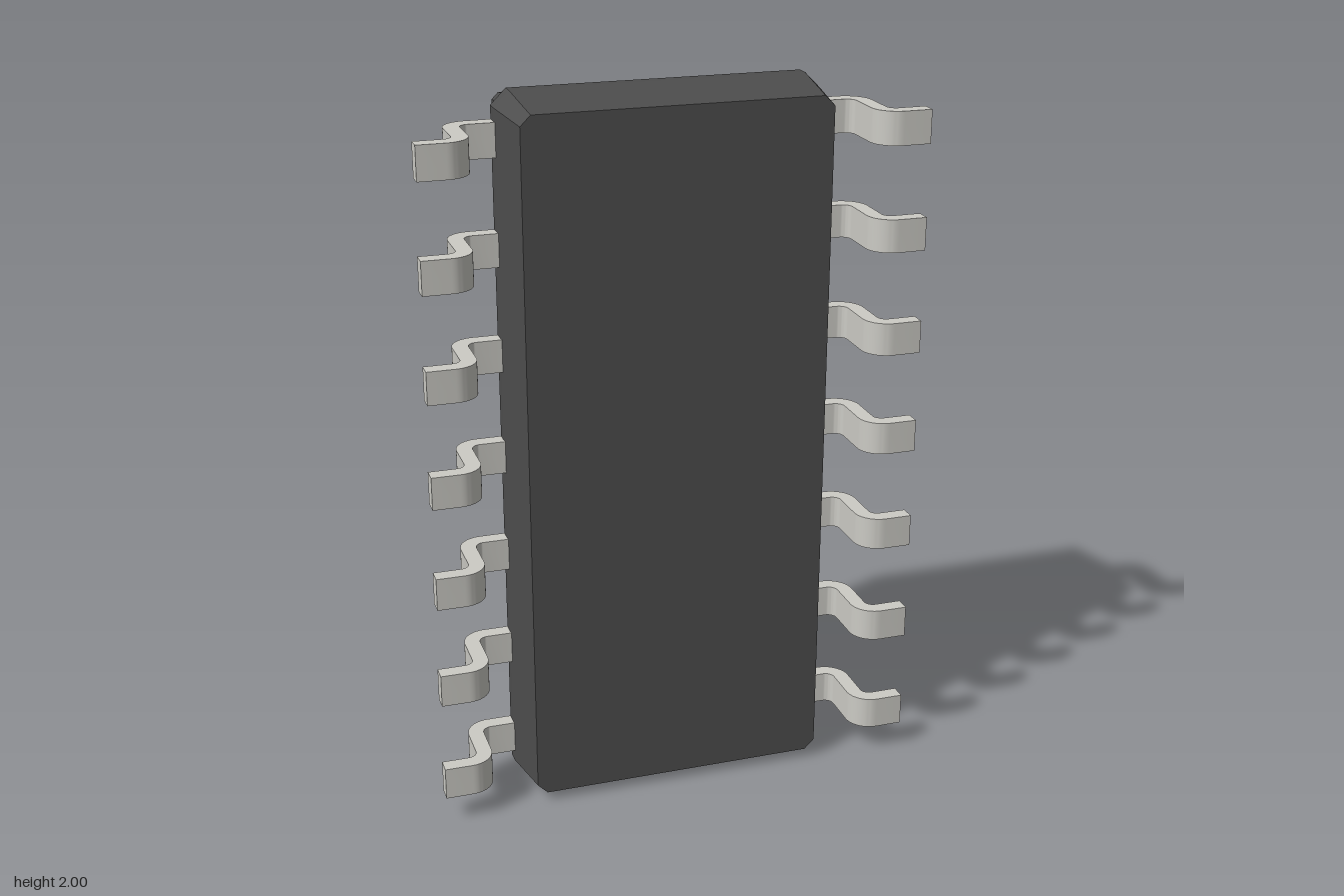
import * as THREE from 'three';
import { toCreasedNormals } from 'three/addons/utils/BufferGeometryUtils.js';

const MID = 1; // height of the body centre

// Corners of a rectangle with cut corners, counter-clockwise seen from +z
function octagon(w, h, c) {
  return [
    [w, -h + c], [w, h - c], [w - c, h], [-w + c, h],
    [-w, h - c], [-w, -h + c], [-w + c, -h], [w - c, -h],
  ].map(([x, y]) => new THREE.Vector2(x, y + MID));
}

// Flat-sided skin joining octagon sections listed from front to back
function loft(sections) {
  const pos = [];
  const rings = sections.map(([z, w, h, c]) =>
    octagon(w, h, c).map((p) => [p.x, p.y, z]));
  for (let s = 0; s < rings.length - 1; s++) {
    const f = rings[s], b = rings[s + 1];
    for (let i = 0; i < 8; i++) {
      const j = (i + 1) % 8;
      pos.push(...f[i], ...b[i], ...b[j], ...f[i], ...b[j], ...f[j]);
    }
  }
  const g = new THREE.BufferGeometry();
  g.setAttribute('position', new THREE.Float32BufferAttribute(pos, 3));
  g.computeVertexNormals();
  return g;
}

// Gull-wing lead profile in (x, z), extruded to the lead width
function leadGeometry(width) {
  const s = new THREE.Shape();
  s.moveTo(0.443, -0.035);
  s.lineTo(0.515, -0.035);
  s.absarc(0.515, 0.035, 0.07, -Math.PI / 2, 0, false);
  s.lineTo(0.585, 0.131);
  s.absarc(0.61, 0.131, 0.025, Math.PI, Math.PI / 2, true);
  s.lineTo(0.687, 0.156);
  s.lineTo(0.687, 0.2);
  s.lineTo(0.61, 0.2);
  s.absarc(0.61, 0.131, 0.069, Math.PI / 2, Math.PI, false);
  s.lineTo(0.541, 0.035);
  s.absarc(0.515, 0.035, 0.026, 0, -Math.PI / 2, true);
  s.lineTo(0.443, 0.009);
  s.closePath();
  const g = new THREE.ExtrudeGeometry(s, { depth: width, bevelEnabled: false, curveSegments: 8 });
  g.translate(0, 0, -width / 2);
  g.rotateX(Math.PI / 2); // profile depth becomes z, width becomes y
  return toCreasedNormals(g, 0.6);
}

export function createModel() {
  const model = new THREE.Group();
  model.name = 'chipPackage';
  const plastic = new THREE.MeshStandardMaterial({ color: 0x4d4d4d });
  const plasticWall = new THREE.MeshStandardMaterial({ color: 0x4d4d4d, side: THREE.DoubleSide });
  const metal = new THREE.MeshStandardMaterial({ color: 0xcccbc5 });
  const marker = new THREE.MeshStandardMaterial({ color: 0x99988f });
  const add = (parent, name, geometry, material) => {
    const m = new THREE.Mesh(geometry, material);
    m.name = name;
    parent.add(m);
    return m;
  };

  // Body: two tapered halves with a small ledge between them
  const body = new THREE.Group();
  body.name = 'body';
  model.add(body);
  const front = [0.178, 0.42, 0.972, 0.028];
  const back = [-0.2, 0.405, 0.956, 0.018];
  add(body, 'bodySides', loft([
    front,
    [0, 0.446, 1, 0.042],
    [-0.035, 0.446, 1, 0.042],
    [-0.035, 0.43, 0.985, 0.02],
    back,
  ]), plastic);
  const face = new THREE.ShapeGeometry(new THREE.Shape(octagon(...front.slice(1))));
  add(body, 'frontFace', face, plastic).position.z = front[0];

  // Back face with a round recess marking the first lead
  const dot = { x: 0.26, y: 1.82, r: 0.07, depth: 0.02 };
  const backShape = new THREE.Shape(octagon(...back.slice(1)));
  backShape.holes.push(new THREE.Path().absarc(-dot.x, dot.y, dot.r, 0, Math.PI * 2, true));
  const backFace = add(body, 'backFace', new THREE.ShapeGeometry(backShape, 16), plastic);
  backFace.rotation.y = Math.PI;
  backFace.position.z = back[0];

  const wall = new THREE.CylinderGeometry(dot.r, dot.r, dot.depth, 32, 1, true).rotateX(Math.PI / 2);
  add(body, 'markerWall', wall, plasticWall).position.set(dot.x, dot.y, back[0] + dot.depth / 2);
  const floor = add(body, 'markerFloor', new THREE.CircleGeometry(dot.r, 32), marker);
  floor.rotation.y = Math.PI;
  floor.position.set(dot.x, dot.y, back[0] + dot.depth);

  // Seven leads on each side
  const lead = leadGeometry(0.092);
  const mirrored = lead.clone().rotateZ(Math.PI); // symmetric in height, so a half turn mirrors it
  for (let i = 0; i < 7; i++) {
    const y = MID + (i - 3) * 0.292;
    add(model, 'leftLead' + (i + 1), lead, metal).position.y = y;
    add(model, 'rightLead' + (i + 1), mirrored, metal).position.y = y;
  }
  return model;
}
